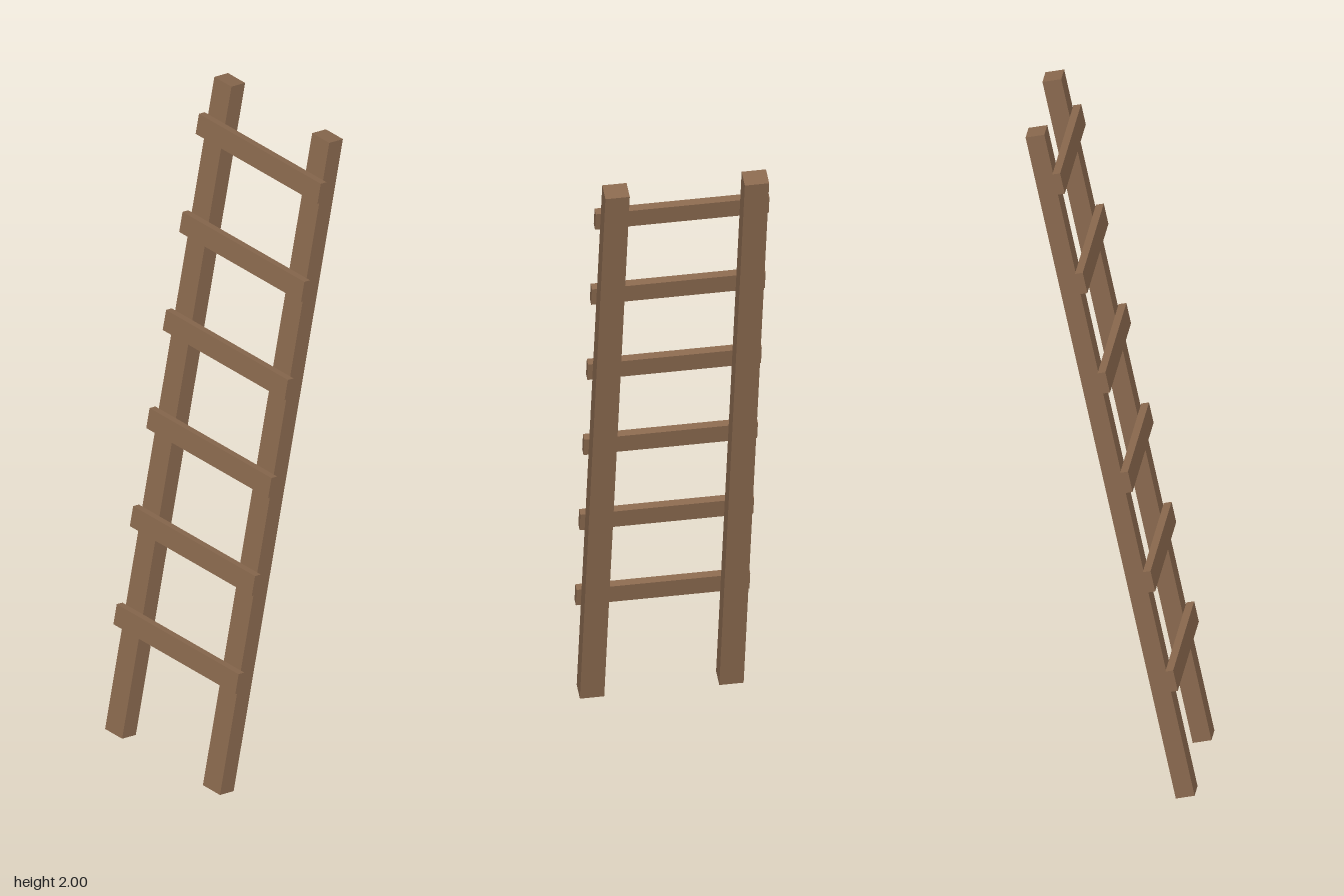
import * as THREE from 'three';

export function createModel() {
  const model = new THREE.Group();
  model.name = 'ladder';
  const wood = new THREE.MeshStandardMaterial({ color: 0x8a694e });
  wood.name = 'brown wood';

  const RAIL = { width: 0.069, length: 2.033, depth: 0.054, x: 0.1975 };
  const RUNG = { width: 0.492, height: 0.0625, depth: 0.0225, count: 6, first: -0.66, spacing: 0.3058 };

  function addBoard(parent, name, size, position) {
    const board = new THREE.Mesh(new THREE.BoxGeometry(...size), wood);
    board.name = name;
    board.position.set(...position);
    parent.add(board);
  }

  // The whole frame leans back by 12 degrees
  const frame = new THREE.Group();
  frame.name = 'leaningFrame';
  frame.position.y = 1;
  frame.rotation.x = -THREE.MathUtils.degToRad(12);
  model.add(frame);

  // Two side rails
  for (const [name, side] of [['leftRail', 1], ['rightRail', -1]]) {
    addBoard(frame, name, [RAIL.width, RAIL.length, RAIL.depth], [side * RAIL.x, 0, 0]);
  }

  // Flat rungs fixed to the front of the rails
  const rungZ = (RAIL.depth + RUNG.depth) / 2;
  for (let i = 0; i < RUNG.count; i++) {
    addBoard(frame, `rung${i + 1}`, [RUNG.width, RUNG.height, RUNG.depth],
      [0, RUNG.first + i * RUNG.spacing, rungZ]);
  }
  return model;
}
